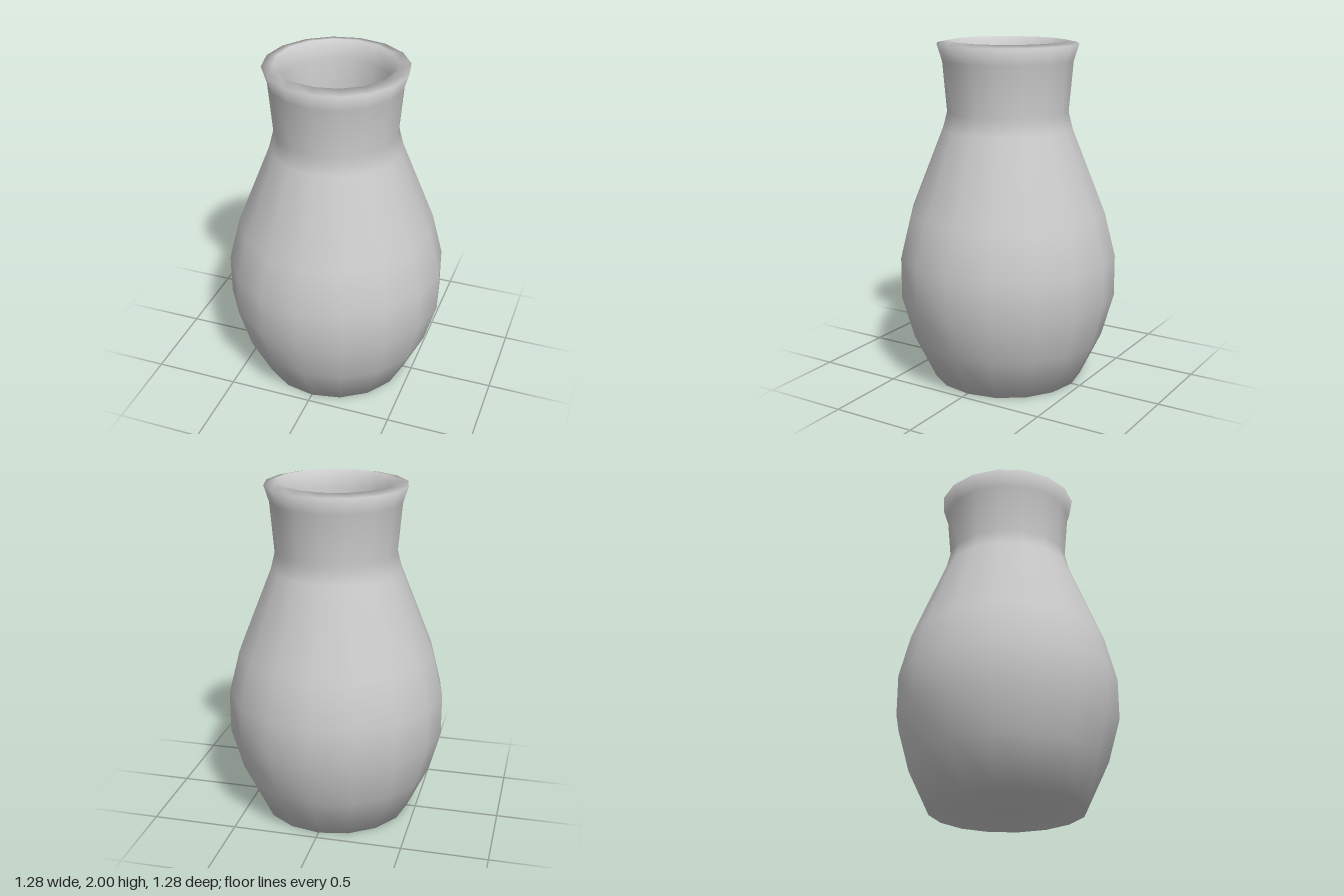
import * as THREE from 'three';

export function createModel() {
  const group = new THREE.Group();
  group.name = 'vase';
  const material = new THREE.MeshStandardMaterial({ color: 0xcccccc });

  // One continuous [radius, height] profile
  const profile = [
    // underside and outer wall
    [0, 0], [0.445, 0], [0.57, 0.26], [0.64, 0.51], [0.64, 0.75], [0.575, 1.01],
    [0.38, 1.5], [0.355, 1.6], [0.38, 1.89],
    // flared rim
    [0.41, 1.985], [0.34, 2.0],
    // inner wall and floor
    [0.31, 1.89], [0.285, 1.6], [0.315, 1.5], [0.505, 1.0], [0.57, 0.75],
    [0.57, 0.51], [0.505, 0.28], [0.4, 0.07], [0, 0.07],
  ].map(([r, y]) => new THREE.Vector2(r, y));

  // Sixteen-sided, smooth-shaded body
  const body = new THREE.Mesh(new THREE.LatheGeometry(profile, 16), material);
  body.name = 'vaseBody';
  group.add(body);
  return group;
}
